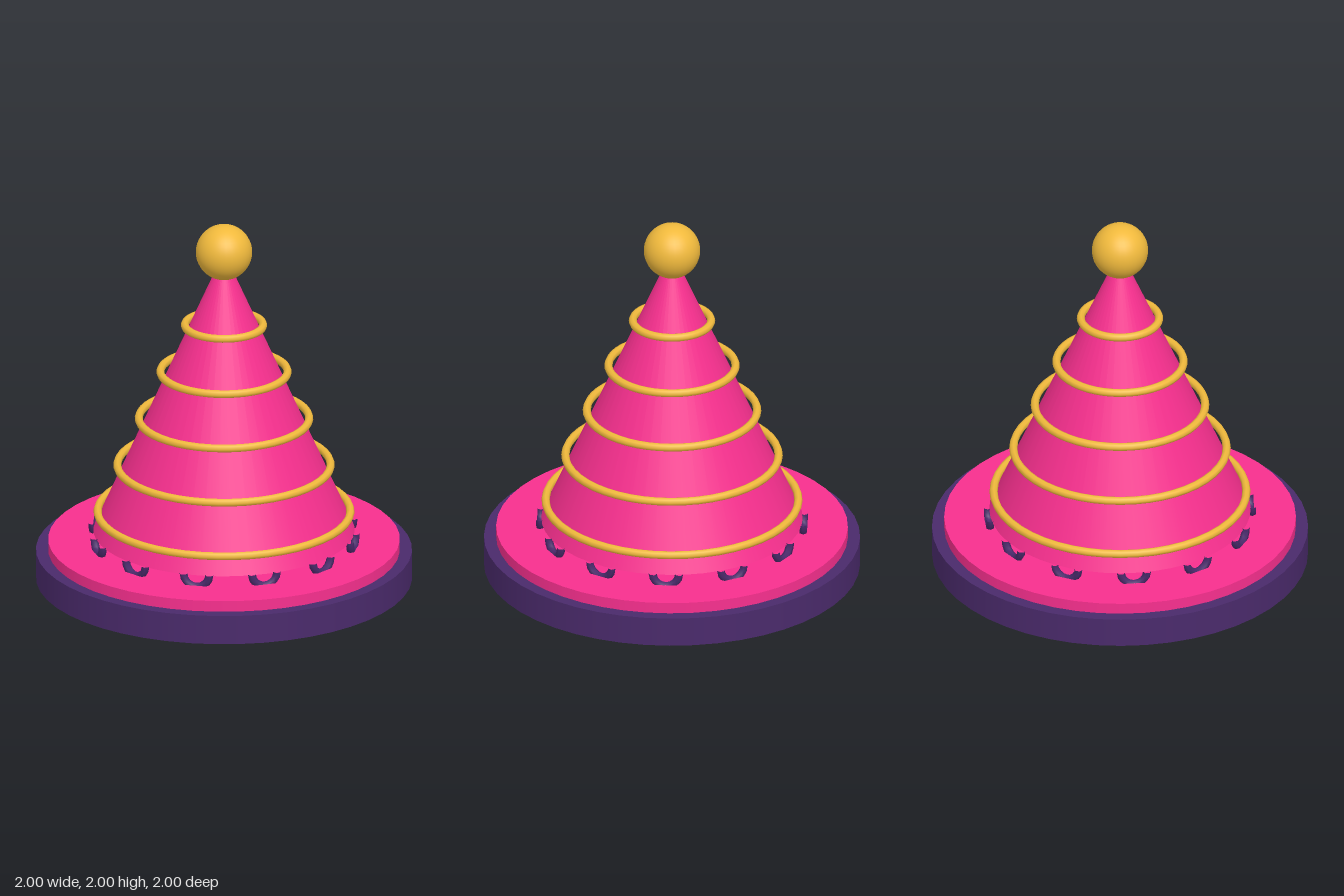
import * as THREE from 'three';

const mat = (color) => new THREE.MeshStandardMaterial({ color });

export function createModel() {
  const model = new THREE.Group();
  const purple = mat(0x4a2a6b), pink = mat(0xf72f8e), gold = mat(0xf0b93c);

  const add = (name, geometry, material, y, parent = model) => {
    const mesh = new THREE.Mesh(geometry, material);
    mesh.name = name;
    mesh.position.y = y;
    parent.add(mesh);
    return mesh;
  };

  // Stepped round brim
  add('brimBase', new THREE.CylinderGeometry(1, 1, 0.16, 48), purple, 0.08);
  add('brimTop', new THREE.CylinderGeometry(0.935, 0.935, 0.06, 48), pink, 0.19);

  // Cone body, hovering just above the brim
  add('cone', new THREE.ConeGeometry(0.695, 1.58, 48), pink, 0.27 + 0.79);

  // Gold bands, narrowing towards the tip
  [0.672, 0.567, 0.453, 0.338, 0.208].forEach((radius, i) => {
    const band = add(`band${i + 1}`, new THREE.TorusGeometry(radius, 0.022, 8, 48), gold, 0.375 + i * 0.265);
    band.rotation.x = Math.PI / 2;
  });

  // Ball on the tip
  add('tipBall', new THREE.SphereGeometry(0.15, 32, 24), gold, 1.85);

  // Scalloped trim: half loops hanging around the foot of the cone
  const trim = new THREE.Group();
  trim.name = 'scallopTrim';
  model.add(trim);
  const loop = new THREE.TorusGeometry(0.07, 0.022, 6, 8, Math.PI).rotateZ(Math.PI);
  for (let i = 0; i < 12; i++) {
    const angle = 0.1 + (i * Math.PI) / 6;
    const scallop = add(`scallop${i + 1}`, loop, purple, 0.278, trim);
    scallop.position.x = Math.sin(angle) * 0.7;
    scallop.position.z = Math.cos(angle) * 0.7;
    scallop.rotation.y = angle;
  }

  return model;
}
